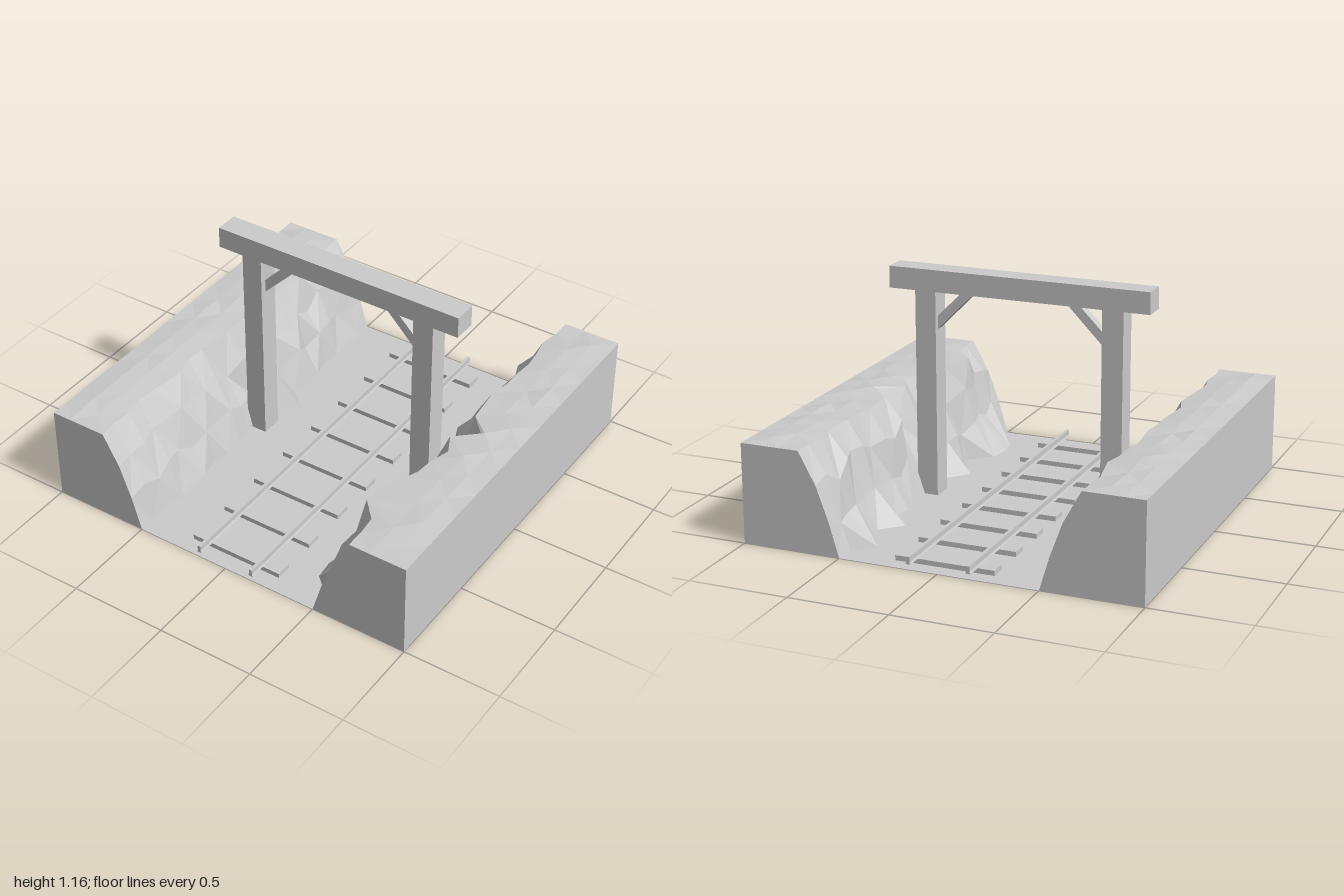
import * as THREE from 'three';

const stone = new THREE.MeshStandardMaterial({ color: 0xcccccc, flatShading: true, side: THREE.DoubleSide });
stone.name = 'grey';

// Cliff lip and foot distances from the track axis, every 0.1 along z
const lipR = [.70, .70, .71, .69, .67, .69, .69, .71, .70, .69, .70, .70, .71, .72, .69, .70, .71, .72, .70, .71, .70];
const footR = [.50, .50, .51, .50, .51, .49, .47, .50, .39, .51, .52, .51, .49, .50, .51, .49, .50, .49, .50, .51, .50];
const lipL = [.70, .70, .68, .70, .71, .70, .70, .68, .69, .70, .79, .68, .73, .70, .69, .65, .61, .60, .69, .70, .70];
const footL = [.50, .49, .40, .46, .50, .40, .50, .48, .51, .51, .50, .51, .50, .41, .49, .51, .41, .39, .40, .51, .50];
const ROWS = 21;

// Repeatable noise from -1 to 1
function noise(a, b) {
  const s = Math.sin(a * 127.1 + b * 311.7) * 43758.5453;
  return 2 * (s - Math.floor(s)) - 1;
}

// Half cross-section of one bank, from the outer base to the cliff foot
function bankSection(side, r) {
  const lip = (side > 0 ? lipL : lipR)[r], foot = (side > 0 ? footL : footR)[r];
  const end = r === 0 || r === ROWS - 1;
  const j = (k, amount) => (end ? 0 : noise(r + side * 40, k) * amount);
  const bump = k => (end ? 0 : 0.006 + 0.006 * noise(r + side * 9, k));
  const inner = Math.max(foot, 0.5);
  return [
    [1, 0], [1, 0.5],
    [0.9, 0.5 + bump(1)],
    [Math.max(0.81, lip + 0.02), 0.5 + bump(2)],
    [lip, 0.5],
    [inner + (lip - inner) * 0.56 + j(3, 0.022), 0.34 + j(4, 0.05)],
    [inner + (lip - inner) * 0.25 + j(5, 0.02), 0.17 + j(6, 0.04)],
    [foot, 0],
  ].map(([x, y]) => [x * side, y]);
}

// Whole terrain: one sheet over both banks and the cutting floor
function terrainGeometry() {
  const pos = [], index = [];
  let n = 0;
  for (let r = 0; r < ROWS; r++) {
    const section = [...bankSection(-1, r), ...bankSection(1, r).reverse()];
    n = section.length;
    for (const [x, y] of section) pos.push(x, y, -1 + r * 0.1);
  }
  for (let r = 0; r < ROWS - 1; r++) {
    for (let i = 0; i < n - 1; i++) {
      const a = r * n + i, b = a + n, c = a + 1, d = b + 1;
      if ((r + i) % 2) index.push(a, b, c, c, b, d);
      else index.push(a, b, d, a, d, c);
    }
  }
  const g = new THREE.BufferGeometry();
  g.setAttribute('position', new THREE.Float32BufferAttribute(pos, 3));
  g.setIndex(index);
  const flat = g.toNonIndexed();
  flat.computeVertexNormals();
  return flat;
}

const shapeOf = pts => new THREE.Shape(pts.map(([x, y]) => new THREE.Vector2(x, y)));

export function createModel() {
  const model = new THREE.Group();
  model.name = 'railwayCutting';

  function add(name, geometry, x = 0, y = 0, z = 0) {
    const mesh = new THREE.Mesh(geometry, stone);
    mesh.name = name;
    mesh.position.set(x, y, z);
    model.add(mesh);
    return mesh;
  }

  add('terrain', terrainGeometry());

  // Flat end faces of the banks
  for (const side of [-1, 1]) {
    const shape = shapeOf(bankSection(side, 0));
    add('bankFrontFace', new THREE.ShapeGeometry(shape), 0, 0, 1);
    const back = new THREE.ShapeGeometry(shapeOf(bankSection(-side, 0)));
    add('bankBackFace', back, 0, 0, -1).rotation.y = Math.PI;
  }

  // Track
  for (let i = 0; i < 8; i++) {
    add('sleeper', new THREE.BoxGeometry(0.5, 0.025, 0.085), 0, 0.0125, -0.877 + i * 0.25);
  }
  const railShape = shapeOf([[-0.013, 0.025], [0.013, 0.025], [0.008, 0.036], [0.008, 0.062], [-0.008, 0.062], [-0.008, 0.036]]);
  for (const x of [-0.153, 0.147]) {
    add('rail', new THREE.ExtrudeGeometry(railShape, { depth: 2, bevelEnabled: false }), x, 0, -1);
  }

  // Timber gate
  add('crossbeam', new THREE.BoxGeometry(1.354, 0.11, 0.122), 0, 1.11, 0);
  for (const side of [-1, 1]) {
    add('post', new THREE.BoxGeometry(0.108, 1.057, 0.112), side * 0.488, 0.5285, 0.002);
    const brace = shapeOf([[0.44, 0.855], [0.44, 0.922], [0.305, 1.057], [0.258, 1.057], [0.258, 1.04]].map(([x, y]) => [x * side, y]));
    add('brace', new THREE.ExtrudeGeometry(brace, { depth: 0.05, bevelEnabled: false }), 0, 0, -0.025);
  }
  return model;
}
